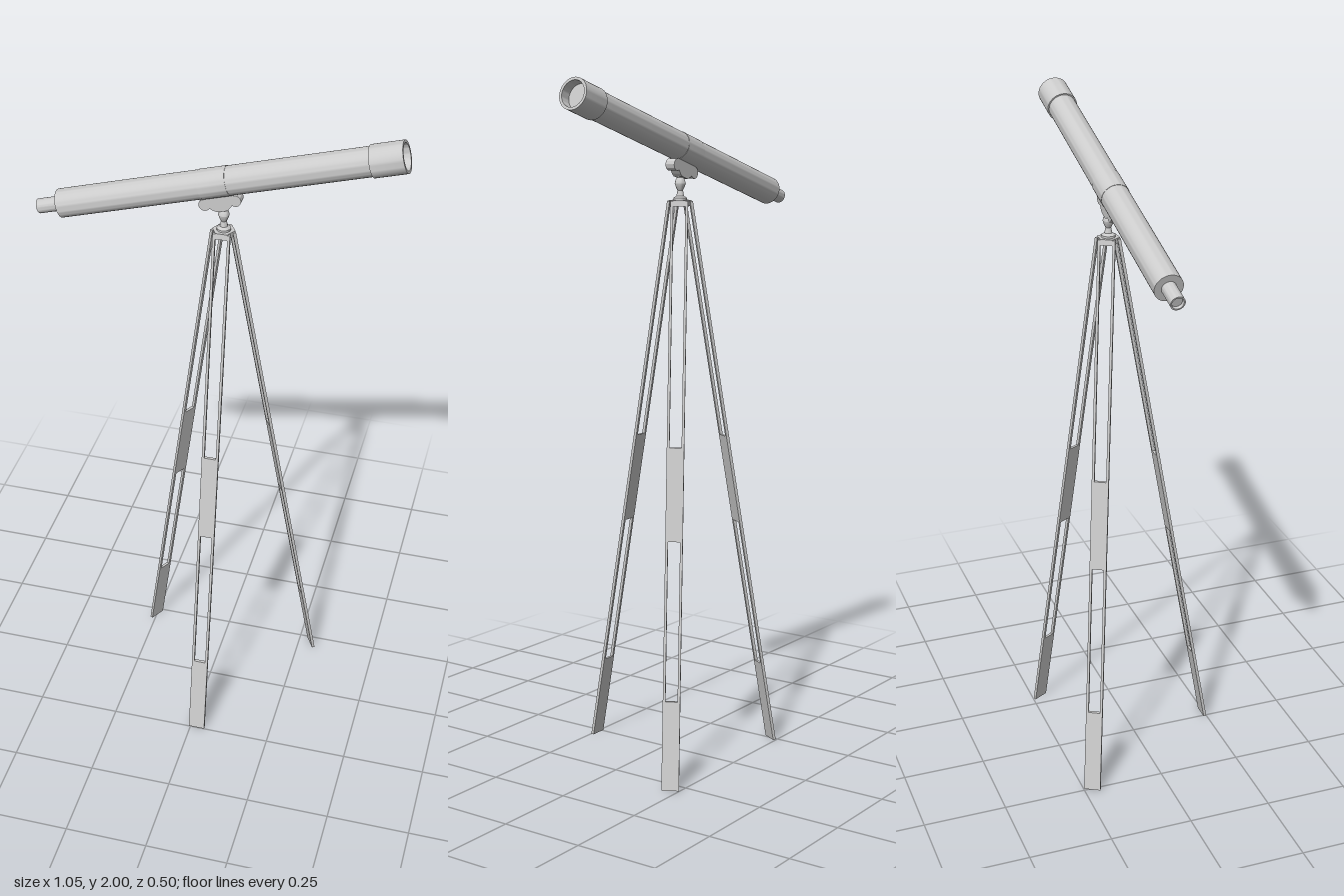
import * as THREE from 'three';
import { toCreasedNormals } from 'three/addons/utils/BufferGeometryUtils.js';

const CX = 0.02, CZ = -0.068;            // tripod centre line
const TILT = THREE.MathUtils.degToRad(16.3);
const material = new THREE.MeshStandardMaterial({ color: 0xcccccc });

function mesh(name, geometry, crease = 0.6) {
  const m = new THREE.Mesh(toCreasedNormals(geometry, crease), material);
  m.name = name;
  return m;
}

function lathe(name, points, segments = 40) {
  return mesh(name, new THREE.LatheGeometry(points.map(p => new THREE.Vector2(...p)), segments));
}

// Lathe profiles are [radius, distance]; this lays one along +x
function alongX(m, x = 0) {
  m.rotation.z = -Math.PI / 2;
  m.position.x = x;
  return m;
}

function rect(path, x0, y0, x1, y1) {
  path.moveTo(x0, y0);
  path.lineTo(x1, y0);
  path.lineTo(x1, y1);
  path.lineTo(x0, y1);
  path.closePath();
  return path;
}

// Two thin rails joined by two solid panels, sheared outwards so the foot stays flat
function legGeometry() {
  const top = 1.66, rTop = 0.024, rFoot = 0.313, thick = 0.009;
  const shape = rect(new THREE.Shape(), -0.025, 0, 0.025, top);
  for (const [y0, y1] of [[0.25, 0.7], [0.965, 1.645]]) {
    shape.holes.push(rect(new THREE.Path(), -0.0175, y0, 0.0175, y1));
  }
  const geo = new THREE.ExtrudeGeometry(shape, { depth: thick, bevelEnabled: false });
  const p = geo.attributes.position;
  for (let i = 0; i < p.count; i++) {
    p.setZ(i, p.getZ(i) - thick / 2 + rFoot + (rTop - rFoot) * p.getY(i) / top);
  }
  geo.computeVertexNormals();
  return geo;
}

export function createModel() {
  const model = new THREE.Group();
  model.name = 'telescopeOnTripod';

  // Telescope, with x running from eyepiece to objective
  const telescope = new THREE.Group();
  telescope.name = 'telescope';
  telescope.position.set(-0.52, 1.655, CZ);
  telescope.rotation.z = TILT;
  model.add(telescope);

  telescope.add(alongX(lathe('eyepiece', [
    [0, 0.008], [0.015, 0.008], [0.017, 0], [0.021, 0], [0.021, 0.075],
  ])));
  telescope.add(alongX(lathe('mainTube', [
    [0, 0.068], [0.041, 0.068], [0.041, 0.99], [0, 0.99],
  ])));
  telescope.add(alongX(lathe('objectiveHood', [
    [0.04, 0.983], [0.045, 0.983], [0.045, 1.077], [0.037, 1.077], [0.037, 1.045], [0, 1.045],
  ])));

  // Clamp band and the lobed cradle beneath it
  const mid = 0.537;
  telescope.add(alongX(lathe('clampBand', [
    [0.04, -0.041], [0.042, -0.041], [0.042, 0.041], [0.04, 0.041],
  ]), mid));

  const cradle = new THREE.Shape();
  cradle.moveTo(-0.045, 0.022);
  cradle.absarc(-0.045, 0, 0.017, Math.PI / 2, Math.PI * 1.75);
  cradle.quadraticCurveTo(-0.026, -0.02, -0.014, -0.026);
  cradle.lineTo(0.014, -0.026);
  cradle.quadraticCurveTo(0.026, -0.02, 0.033, -0.012);
  cradle.absarc(0.045, 0, 0.017, Math.PI * 1.25, Math.PI * 2.5);
  cradle.lineTo(0.045, 0.022);
  const cradleGeo = new THREE.ExtrudeGeometry(cradle, { depth: 0.03, bevelEnabled: false, curveSegments: 14 });
  cradleGeo.translate(mid, -0.057, -0.015);
  telescope.add(mesh('cradle', cradleGeo));

  // Turned neck between cradle and tripod head
  const neck = lathe('neck', [
    [0, 1.655], [0.02, 1.655], [0.02, 1.668], [0.011, 1.674], [0.008, 1.69], [0.013, 1.7],
    [0.016, 1.71], [0.013, 1.72], [0.009, 1.726], [0.012, 1.735], [0.012, 1.75], [0, 1.75],
  ], 24);
  neck.position.set(CX, 0, CZ);
  model.add(neck);

  // Tripod head plate
  const head = mesh('tripodHead', new THREE.CylinderGeometry(0.033, 0.033, 0.016, 6));
  head.position.set(CX, 1.654, CZ);
  head.rotation.y = Math.PI / 6;
  model.add(head);

  // Three legs, one pointing forwards
  const leg = legGeometry();
  ['frontLeg', 'leftBackLeg', 'rightBackLeg'].forEach((name, i) => {
    const m = mesh(name, leg);
    m.position.set(CX, 0, CZ);
    m.rotation.y = i * Math.PI * 2 / 3;
    model.add(m);
  });

  return model;
}
